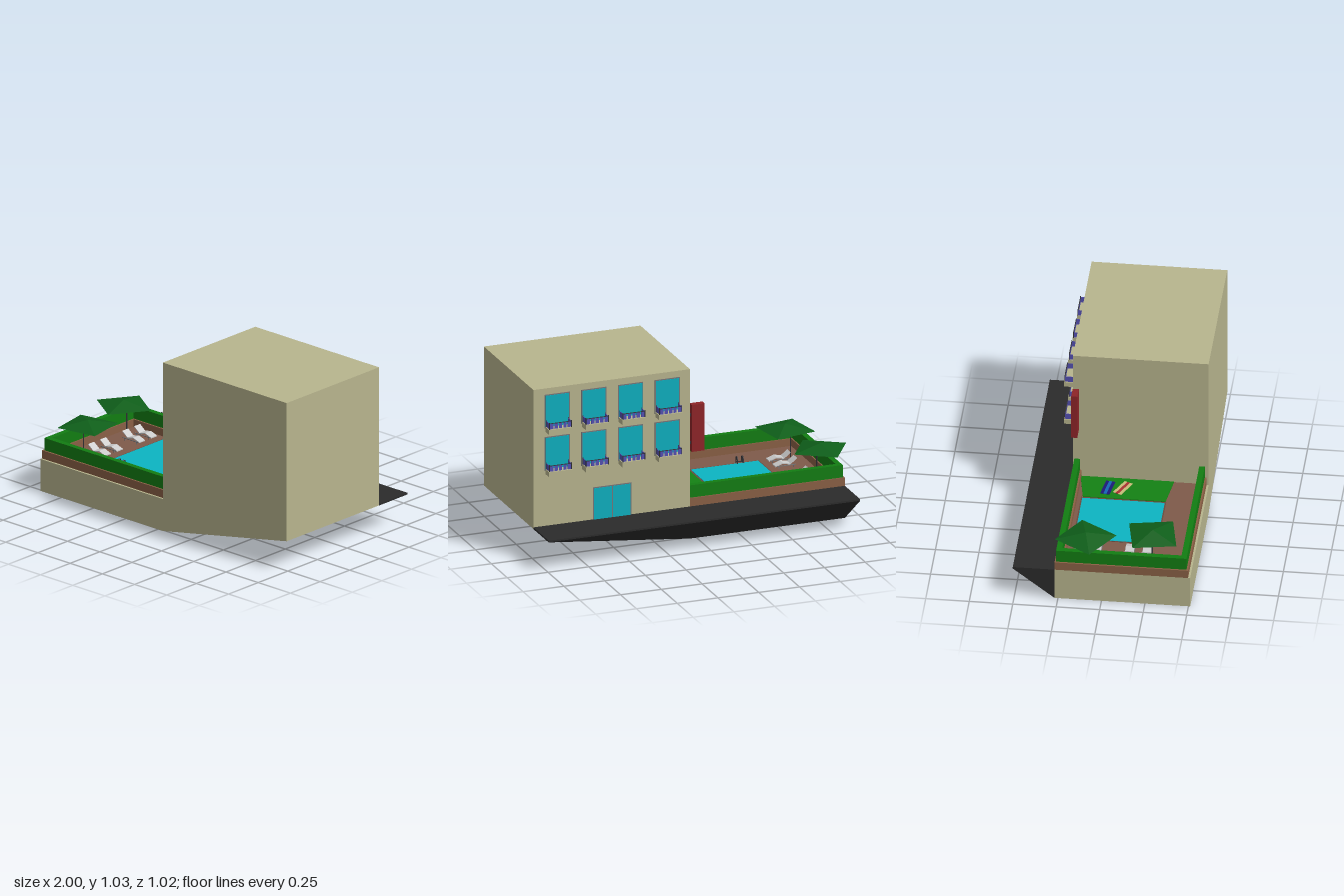
import * as THREE from 'three';
import { ConvexGeometry } from 'three/addons/geometries/ConvexGeometry.js';

const mat = (color, side = THREE.FrontSide) =>
  new THREE.MeshStandardMaterial({ color, side, flatShading: true });
const M = {
  plaster: mat(0xb8b58e), asphalt: mat(0x2b2b2b), hedge: mat(0x127d12), lawn: mat(0x148214),
  wall: mat(0x8a6045), floor: mat(0x7f5a4a), rim: mat(0x6b4a3e), water: mat(0x0cb4c2),
  glass: mat(0x0cb0c0), frame: mat(0x77777a), blue: mat(0x5450b4), dark: mat(0x333338),
  red: mat(0x8e2428), canvas: mat(0x0f5f1a, THREE.DoubleSide), white: mat(0xcccccc),
  navy: mat(0x1c1a78), azure: mat(0x1468b4), sand: mat(0xc8bc78), crimson: mat(0xa83030),
};

function add(parent, name, geometry, material) {
  const mesh = new THREE.Mesh(geometry, material);
  mesh.name = name;
  parent.add(mesh);
  return mesh;
}

// Box given by its limits on each axis
function box(parent, name, material, x0, x1, y0, y1, z0, z1) {
  const mesh = add(parent, name, new THREE.BoxGeometry(x1 - x0, y1 - y0, z1 - z0), material);
  mesh.position.set((x0 + x1) / 2, (y0 + y1) / 2, (z0 + z1) / 2);
  return mesh;
}

function group(parent, name, x = 0, y = 0, z = 0, turn = 0) {
  const g = new THREE.Group();
  g.name = name;
  g.position.set(x, y, z);
  g.rotation.y = turn;
  parent.add(g);
  return g;
}

// Flat-bottomed prism from a side outline
function prism(points, depth) {
  const shape = new THREE.Shape(points.map(p => new THREE.Vector2(...p)));
  return new THREE.ExtrudeGeometry(shape, { depth, bevelEnabled: false });
}

// Glazed opening on the back wall, split into panes
function glazing(parent, name, x0, x1, y0, y1, panes) {
  const g = group(parent, name), t = 0.006;
  box(g, 'frame', M.frame, x0, x1, y0, y1, -0.273, -0.268);
  const w = (x1 - x0 - t) / panes;
  for (let i = 0; i < panes; i++)
    box(g, 'pane', M.glass, x0 + t + i * w, x0 + (i + 1) * w, y0, y1 - t, -0.275, -0.27);
}

function balcony(parent, x, y) {
  const g = group(parent, 'balcony', x, y, -0.27);
  box(g, 'balconySlab', M.plaster, -0.072, 0.072, 0, 0.03, -0.06, 0);
  const panels = 5, w = 0.136 / panels;
  for (let i = 0; i < panels; i++) {
    const px = -0.068 + i * w;
    box(g, 'railPanel', M.blue, px + 0.004, px + w - 0.004, 0.032, 0.066, -0.056, -0.053);
  }
  for (const s of [-1, 1]) {
    for (const z of [-0.036, -0.017])
      box(g, 'sidePanel', M.blue, s * 0.067 - 0.0015, s * 0.067 + 0.0015, 0.032, 0.066, z - 0.017, z + 0.016);
    for (const z of [-0.055, -0.004])
      box(g, 'railPost', M.dark, s * 0.068 - 0.002, s * 0.068 + 0.002, 0.03, 0.071, z - 0.002, z + 0.002);
  }
  box(g, 'handRail', M.dark, -0.068, 0.068, 0.064, 0.067, -0.057, -0.052);
}

// Square pyramid canopy on a pole
function parasol(parent, x, z, poleX, turn) {
  const g = group(parent, 'parasol', x, 0, z);
  const canopy = add(g, 'canopy', new THREE.ConeGeometry(0.178, 0.034, 4, 1, true), M.canvas);
  canopy.position.y = 0.391;
  canopy.rotation.y = turn;
  const pole = add(g, 'pole', new THREE.CylinderGeometry(0.004, 0.004, 0.2, 8), M.dark);
  pole.position.set(poleX - x, 0.295, 0);
}

// Wavy reclining seat with its raised back towards -x
function lounger(parent, z) {
  const g = group(parent, 'lounger', -0.7, 0.2, z);
  const top = [[-0.065, 0.055], [-0.025, 0.024], [0.02, 0.034], [0.065, 0.018]];
  const under = top.map(([x, y]) => [x, y - 0.006]).reverse();
  const bed = add(g, 'loungerBed', prism([...under.reverse(), ...top.slice().reverse()], 0.05), M.white);
  bed.position.z = -0.025;
  for (const s of [-1, 1]) {
    box(g, 'loungerRail', M.frame, -0.06, 0.06, 0.014, 0.018, s * 0.026 - 0.002, s * 0.026 + 0.002);
    for (const x of [-0.045, 0.045])
      box(g, 'loungerLeg', M.frame, x - 0.002, x + 0.002, 0, 0.016, s * 0.026 - 0.002, s * 0.026 + 0.002);
  }
}

function towel(parent, x, z, turn, edge, middle) {
  const g = group(parent, 'towel', x, 0.204, z, turn);
  [edge, middle, edge].forEach((m, i) =>
    box(g, 'towelStripe', m, -0.065, 0.065, 0, 0.003, -0.027 + i * 0.018, -0.009 + i * 0.018));
}

export function createModel() {
  const model = new THREE.Group();
  model.name = 'hotel';

  // Building and terrace base in one sloping-bottomed block
  const body = add(model, 'buildingAndBase', prism([[-0.91, 0], [0.04, 0], [1, 0.185], [1, 1.03],
    [0.04, 1.03], [0.04, 0.195], [-0.91, 0.195]], 0.78), M.plaster);
  body.position.z = -0.27;

  // Road on a wedge-shaped bank, in two lengths
  const section = (x, low) => [[0.195, -0.27], [0.195, -0.51], [0.185, -0.51], [low, -0.27]]
    .map(([y, z]) => new THREE.Vector3(x, y, z));
  add(model, 'lowerRoad', new ConvexGeometry([...section(-0.91, 0), ...section(0.04, 0)]), M.asphalt);
  add(model, 'upperRoad', new ConvexGeometry([...section(0.04, 0), ...section(1, 0.184)]), M.asphalt);

  // Windows, balconies and entrance
  const facade = group(model, 'facade');
  for (const x of [0.18, 0.405, 0.63, 0.855])
    for (const y of [0.51, 0.767]) {
      glazing(facade, 'window', x - 0.077, x + 0.077, y + 0.02, y + 0.225, 1);
      balcony(facade, x, y);
    }
  glazing(facade, 'entrance', 0.4, 0.635, 0.195, 0.39, 2);

  // Hanging sign board
  const sign = group(model, 'signBoard');
  box(sign, 'board', M.red, -0.05, 0.028, 0.525, 0.81, -0.27, -0.235);
  for (const y of [0.577, 0.745])
    box(sign, 'bracket', M.dark, 0.026, 0.045, y - 0.008, y + 0.008, -0.258, -0.246);

  // Terrace floor, low walls and hedges
  const terrace = group(model, 'terrace');
  box(terrace, 'floor', M.floor, -0.9, 0.04, 0.19, 0.2, -0.265, 0.49);
  const border = [[-0.91, 0.04, -0.27, -0.22], [-0.91, 0.04, 0.448, 0.498], [-0.91, -0.86, -0.22, 0.448]];
  for (const [x0, x1, z0, z1] of border)
    box(terrace, 'lowWall', M.wall, x0, x1, 0.195, 0.245, z0, z1);
  const hedges = [[-0.9, 0.04, -0.262, -0.23], [-0.9, 0.04, 0.456, 0.488], [-0.9, -0.868, -0.23, 0.456]];
  for (const [x0, x1, z0, z1] of hedges)
    box(terrace, 'hedge', M.hedge, x0, x1, 0.245, 0.32, z0, z1);

  // Pool with rim, and the flared lawn beside it
  box(terrace, 'poolRim', M.rim, -0.6, -0.168, 0.198, 0.2015, -0.2, 0.29);
  box(terrace, 'poolWater', M.water, -0.593, -0.18, 0.198, 0.203, -0.192, 0.282);
  const lawn = add(terrace, 'lawn', prism([[-0.166, -0.285], [0.04, -0.312], [0.04, 0.226], [-0.166, 0.19]], 0.006), M.lawn);
  lawn.rotation.x = -Math.PI / 2;
  lawn.position.y = 0.198;

  // Pool ladder
  for (const x of [-0.5, -0.465]) {
    const path = new THREE.CatmullRomCurve3([[0.2, 0.303], [0.235, 0.3], [0.24, 0.285], [0.2, 0.276]]
      .map(([y, z]) => new THREE.Vector3(x, y, z)));
    add(terrace, 'ladderRail', new THREE.TubeGeometry(path, 10, 0.004, 6), M.dark);
  }
  box(terrace, 'ladderStep', M.dark, -0.5, -0.465, 0.208, 0.212, 0.284, 0.292);

  // Garden furniture
  for (const z of [-0.148, -0.048, 0.14, 0.24]) lounger(terrace, z);
  parasol(terrace, -0.825, -0.1, -0.803, 0.22);
  parasol(terrace, -0.757, 0.278, -0.79, -0.6);
  towel(terrace, -0.065, -0.058, -0.15, M.navy, M.azure);
  towel(terrace, -0.06, 0.028, -0.44, M.sand, M.crimson);
  return model;
}
